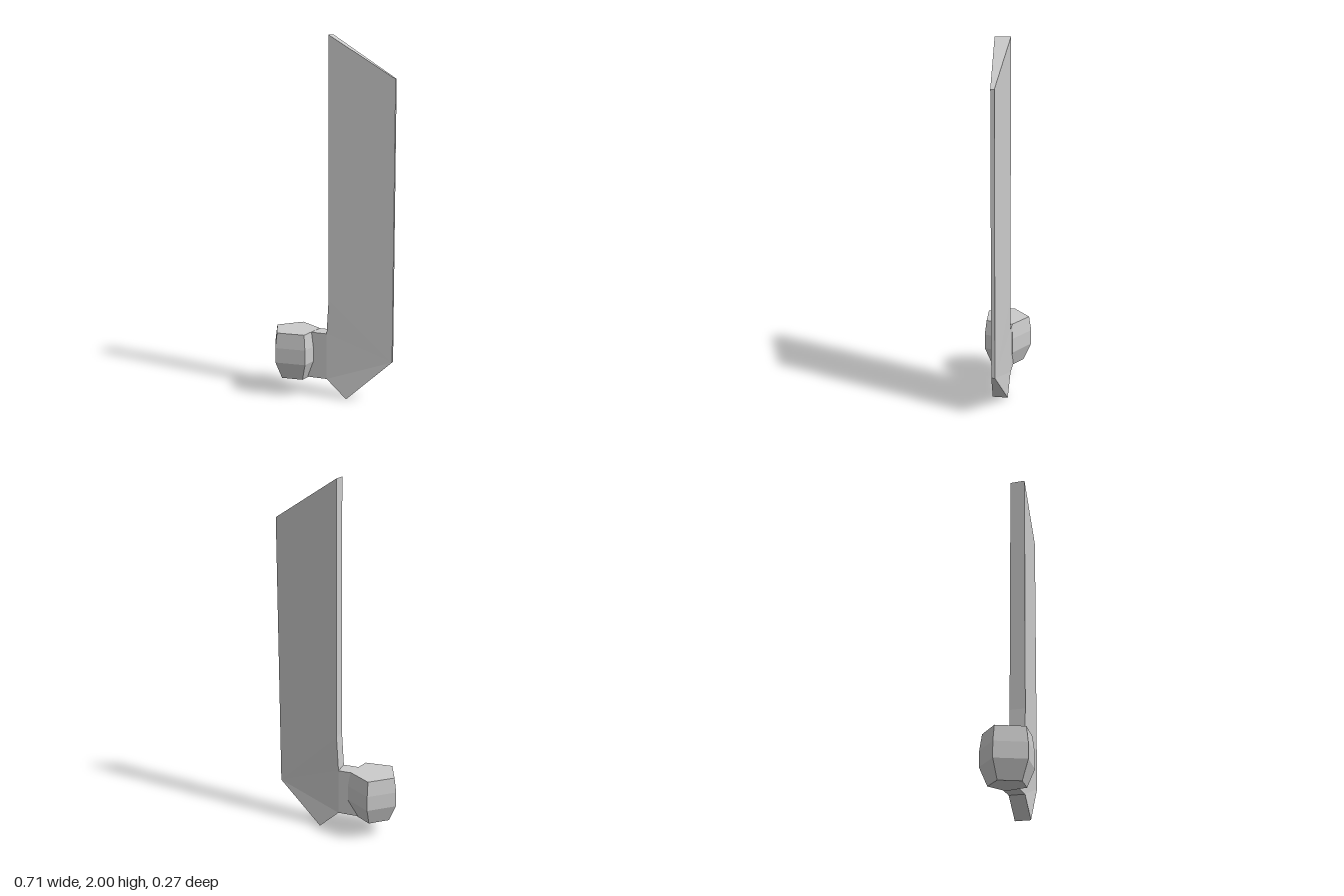
import * as THREE from 'three';

const material = new THREE.MeshStandardMaterial({ color: 0xcccccc, flatShading: true });

function part(name, geometry) {
  const mesh = new THREE.Mesh(geometry, material);
  mesh.name = name;
  return mesh;
}

// Flat plate from a counterclockwise outline of [x, y, half thickness];
// both faces fan out from the first corner.
function taperedPlate(outline) {
  const positions = [];
  const corner = (i, side) => {
    const [x, y, h] = outline[i % outline.length];
    positions.push(x, y, h * side);
  };
  for (let i = 0; i < outline.length; i++) {
    if (i > 0 && i < outline.length - 1) {
      corner(0, 1); corner(i, 1); corner(i + 1, 1);
      corner(0, -1); corner(i + 1, -1); corner(i, -1);
    }
    corner(i, 1); corner(i, -1); corner(i + 1, -1);
    corner(i, 1); corner(i + 1, -1); corner(i + 1, 1);
  }
  const geometry = new THREE.BufferGeometry();
  geometry.setAttribute('position', new THREE.Float32BufferAttribute(positions, 3));
  geometry.computeVertexNormals();
  return geometry;
}

export function createModel() {
  const group = new THREE.Group();
  group.name = 'bladeWithKnob';

  // Blade: thick spine on the right, thin edge on the left
  const thick = 0.043, thin = 0.01;
  group.add(part('blade', taperedPlate([
    [0.353, 0.235, thin], [0.353, 1.775, thin], [-0.005, 2, thick],
    [-0.005, 0.57, thick], [-0.017, 0.37, thick], [-0.017, 0.105, thick], [0.098, 0, thick],
  ])));

  // Short arm joining the blade to the knob
  const arm = part('arm', new THREE.BoxGeometry(0.133, 0.264, thick * 2));
  arm.position.set(-0.0835, 0.237, 0);
  group.add(arm);

  // Five-sided knob, narrower towards the bottom
  const profile = [[0, 0.1], [0.103, 0.1], [0.147, 0.2], [0.147, 0.285], [0.134, 0.37], [0, 0.37]]
    .map(([r, y]) => new THREE.Vector2(r, y));
  const knob = part('knob', new THREE.LatheGeometry(profile, 5, 3.216));
  knob.position.set(-0.211, 0, 0.01);
  group.add(knob);

  return group;
}
